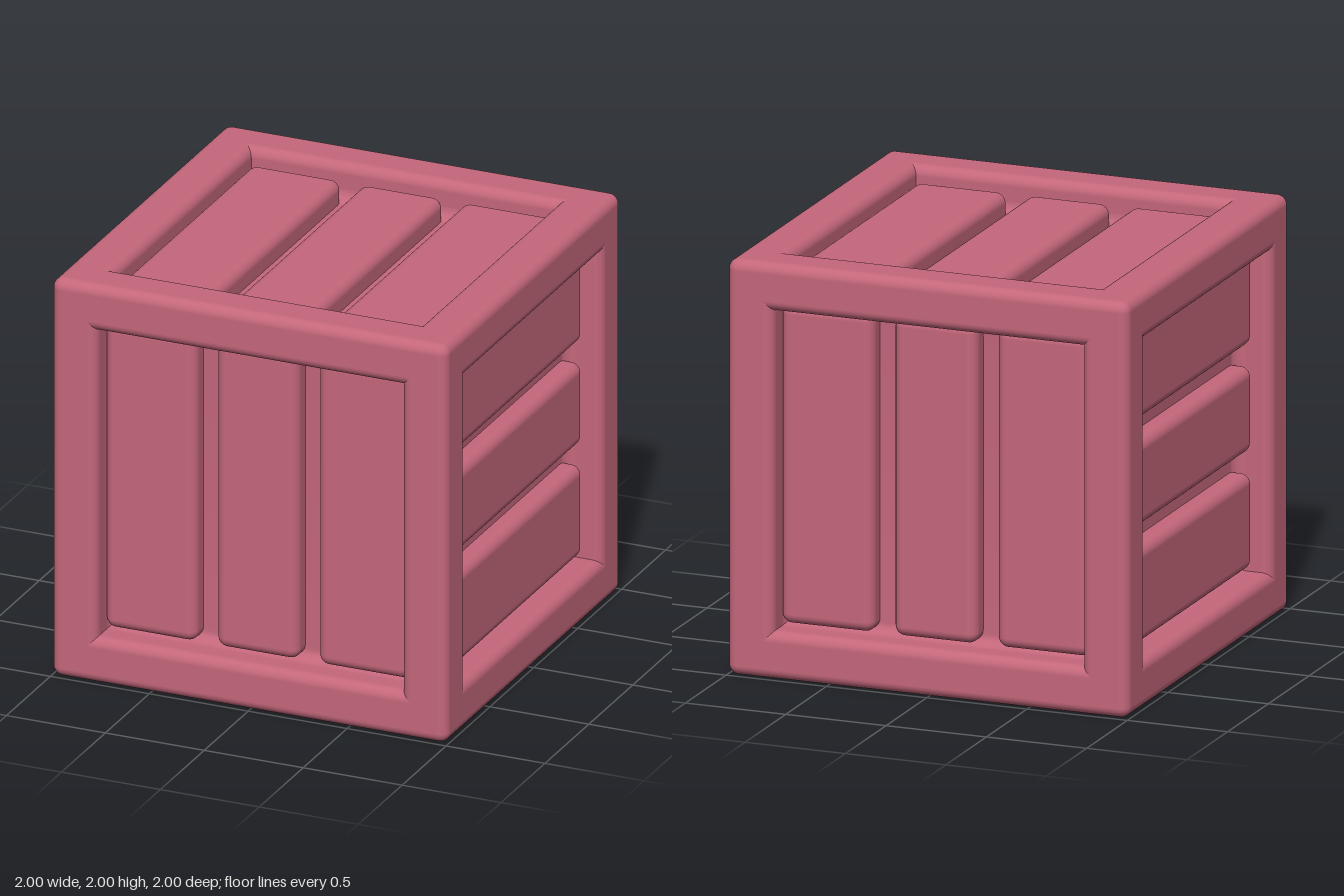
import * as THREE from 'three';
import { toCreasedNormals } from 'three/addons/utils/BufferGeometryUtils.js';
import { RoundedBoxGeometry } from 'three/addons/geometries/RoundedBoxGeometry.js';

const BEAM = 0.23;   // beam thickness
const INNER = 0.77;  // half opening of each side
const FLOOR = 0.815; // distance of the recessed panels from the centre
const ROUND = 0.05;

const paint = new THREE.MeshStandardMaterial({ color: 0xc4677b });
paint.name = 'rose paint';

function add(parent, name, geometry) {
  const mesh = new THREE.Mesh(geometry, paint);
  mesh.name = name;
  parent.add(mesh);
  return mesh;
}

// Twelve full-length rounded beams along the cube's edges
function makeFrame() {
  const frame = new THREE.Group();
  frame.name = 'frame';
  const beam = new RoundedBoxGeometry(BEAM, 2, BEAM, 5, ROUND);
  const c = 1 - BEAM / 2;
  for (const a of [-c, c]) for (const b of [-c, c]) {
    add(frame, 'uprightBeam', beam).position.set(a, 0, b);
    const across = add(frame, 'crossBeam', beam);
    across.rotation.z = Math.PI / 2;
    across.position.set(0, a, b);
    const deep = add(frame, 'sideBeam', beam);
    deep.rotation.x = Math.PI / 2;
    deep.position.set(a, b, 0);
  }
  return frame;
}

// Square recessed panel facing +z, with a concave fillet against the beams
function panelGeometry() {
  const fillet = 0.06, points = [];
  for (let i = 0; i <= 6; i++) {
    const t = (i / 6) * Math.PI / 2;
    const half = INNER - fillet * (1 - Math.cos(t));
    points.push(new THREE.Vector2(half * Math.SQRT2, FLOOR + fillet * (1 - Math.sin(t))));
  }
  points.push(new THREE.Vector2(0, FLOOR));
  const g = new THREE.LatheGeometry(points, 4);
  g.rotateY(Math.PI / 4);
  g.rotateX(Math.PI / 2);
  return toCreasedNormals(g, 0.5);
}

export function createModel() {
  const crate = new THREE.Group();
  crate.name = 'crate';
  const body = new THREE.Group();
  body.name = 'body';
  body.position.y = 1;
  crate.add(body);
  body.add(makeFrame());

  const panel = panelGeometry();
  const depth = 0.2, top = 0.91;
  // Plank spans across each side: [from, to]
  const planks = [[-0.77, -0.308], [-0.207, 0.207], [0.308, 0.77]].map(([a, b]) => ({
    x: (a + b) / 2,
    geometry: new RoundedBoxGeometry(b - a, INNER * 2, depth, 5, ROUND),
  }));

  // Six sides: name, rotation, and plank turn within the side
  const q = Math.PI / 2;
  const sides = [
    ['front', 0, 0, 0], ['back', 0, 2 * q, 0],
    ['left', 0, q, q], ['right', 0, -q, q],
    ['top', -q, 0, 0], ['bottom', q, 0, 0],
  ];
  for (const [name, rx, ry, turn] of sides) {
    const panelMesh = add(body, name + 'Panel', panel);
    panelMesh.rotation.set(rx, ry, 0);

    const boards = new THREE.Group();
    boards.name = name + 'Planks';
    boards.rotation.set(rx, ry, turn);
    boards.position.y = 0.018; // planks sit slightly high in the frame
    for (const p of planks) add(boards, 'plank', p.geometry).position.set(p.x, 0, top - depth / 2);
    body.add(boards);
  }
  return crate;
}
